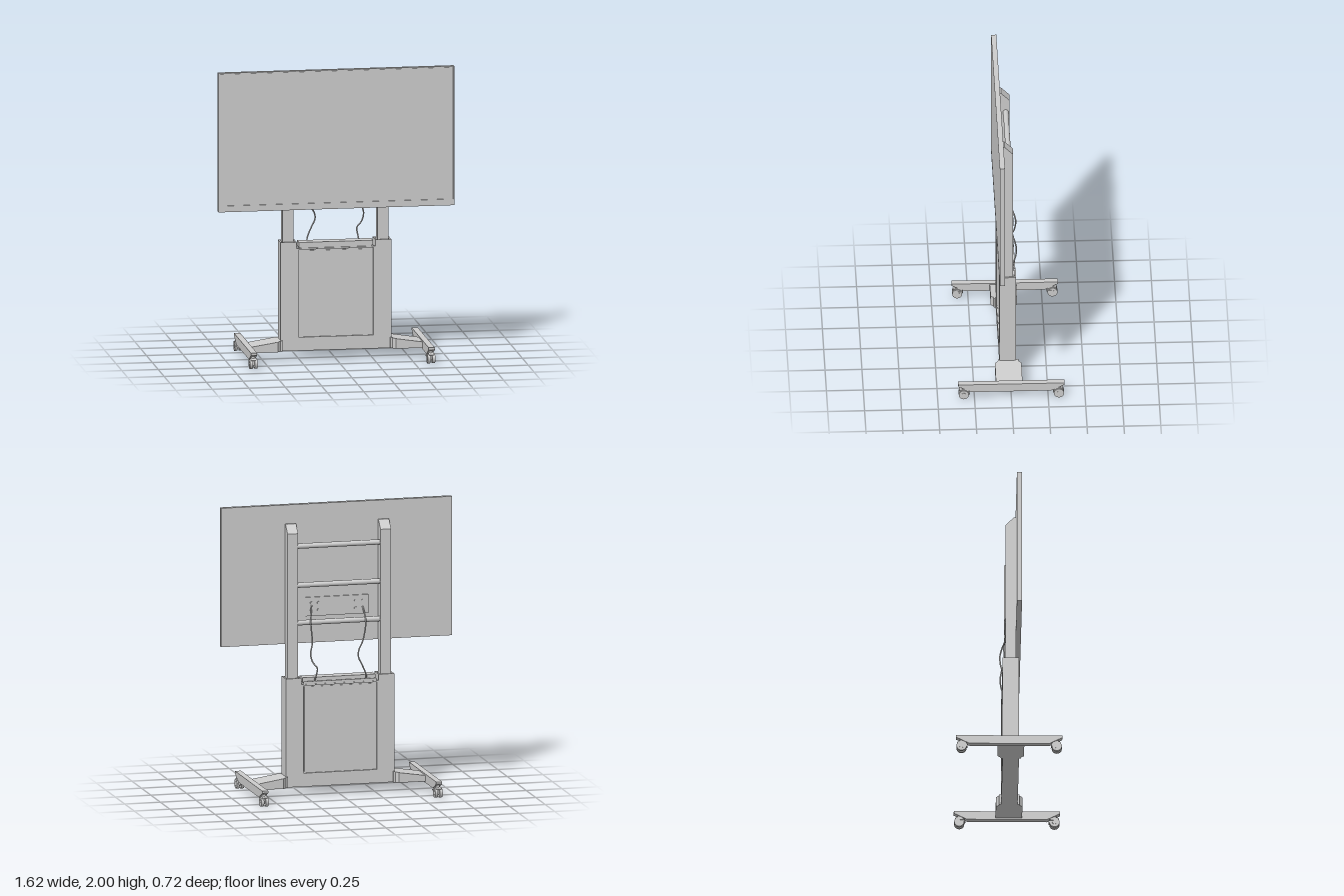
import * as THREE from 'three';

const mat = new THREE.MeshStandardMaterial({ color: 0xcccccc });

export function createModel() {
  const root = new THREE.Group();
  root.name = 'mobileDisplayStand';

  const add = (name, geo, parent = root) => {
    const m = new THREE.Mesh(geo, mat);
    m.name = name;
    parent.add(m);
    return m;
  };
  // Box given by its min and max along each axis
  const box = (name, x0, x1, y0, y1, z0, z1, parent) => {
    const g = new THREE.BoxGeometry(x1 - x0, y1 - y0, z1 - z0);
    g.translate((x0 + x1) / 2, (y0 + y1) / 2, (z0 + z1) / 2);
    return add(name, g, parent);
  };
  const shapeOf = pts => new THREE.Shape(pts.map(p => new THREE.Vector2(...p)));
  const rectPath = (x0, x1, y0, y1) =>
    new THREE.Path([[x0, y0], [x0, y1], [x1, y1], [x1, y0]].map(p => new THREE.Vector2(...p)));
  const extrude = (shape, depth) =>
    new THREE.ExtrudeGeometry(shape, { depth, bevelEnabled: false, curveSegments: 16 });
  // Side profile in (z, y), extruded along x from x0 to x1
  const sideProfile = (name, pts, x0, x1, parent) => {
    const g = extrude(shapeOf(pts.map(([z, y]) => [-z, y])), x1 - x0);
    g.rotateY(Math.PI / 2).translate(x0, 0, 0);
    return add(name, g, parent);
  };
  // Cylinder lying along x
  const rod = (name, r, len, x, y, z, parent, seg = 24) => {
    const g = new THREE.CylinderGeometry(r, r, len, seg);
    g.rotateZ(Math.PI / 2).translate(x, y, z);
    return add(name, g, parent);
  };

  // Display: rear shell, slim bezel, inset glass and lower bar
  const display = new THREE.Group();
  display.name = 'display';
  root.add(display);
  box('displayShell', -0.81, 0.81, 1.04, 2, 0.05, 0.078, display);
  const bezel = shapeOf([[-0.81, 1.04], [0.81, 1.04], [0.81, 2], [-0.81, 2]]);
  bezel.holes.push(rectPath(-0.803, 0.803, 1.083, 1.995));
  const bezelMesh = add('displayBezel', extrude(bezel, 0.007), display);
  bezelMesh.position.z = 0.078;
  box('displayGlass', -0.796, 0.796, 1.086, 1.993, 0.077, 0.083, display);

  // Mounting plate and its screws
  box('mountingPlate', -0.22, 0.22, 1.225, 1.355, 0.04, 0.051, display);
  for (const s of [-1, 1])
    for (const dx of [0.13, 0.18])
      for (const y of [1.265, 1.315]) {
        const g = new THREE.CylinderGeometry(0.01, 0.01, 0.008, 12);
        g.rotateX(Math.PI / 2).translate(s * dx, y, 0.037);
        add('plateScrew', g, display);
      }

  // Lifting posts with chamfered tops
  for (const s of [-1, 1]) {
    const x = s * 0.326;
    sideProfile('liftPost',
      [[0.05, 0.7], [0.05, 1.87], [0.035, 1.87], [-0.022, 1.812], [-0.022, 0.7]],
      x - 0.037, x + 0.037);
  }
  for (const y of [1.19, 1.45, 1.72]) rod('crossBar', 0.018, 0.59, 0, y, 0.005);

  // Cabinet: front and back frames with a notched top and panel opening
  const cabinet = new THREE.Group();
  cabinet.name = 'cabinet';
  root.add(cabinet);
  const outline = [[-0.38, 0.065], [0.38, 0.065], [0.38, 0.815], [0.27, 0.815],
    [0.27, 0.772], [-0.27, 0.772], [-0.27, 0.815], [-0.38, 0.815]];
  const frame = shapeOf(outline);
  frame.holes.push(rectPath(-0.257, 0.257, 0.158, 0.762));
  for (const z of [-0.042, 0.058]) add('cabinetFrame', extrude(frame, 0.012), cabinet).position.z = z;
  box('cabinetFrontPanel', -0.249, 0.249, 0.166, 0.754, 0.04, 0.062, cabinet);
  box('cabinetBackPanel', -0.249, 0.249, 0.166, 0.754, -0.034, -0.012, cabinet);
  box('cabinetCore', -0.27, 0.27, 0.065, 0.76, -0.03, 0.058, cabinet);
  for (const s of [-1, 1]) {
    box('cabinetOuterWall', s * 0.374 - 0.006, s * 0.374 + 0.006, 0.065, 0.815, -0.031, 0.059, cabinet);
    box('cabinetInnerWall', s * 0.275 - 0.005, s * 0.275 + 0.005, 0.065, 0.815, -0.031, 0.059, cabinet);
    box('postCollar', s * 0.325 - 0.046, s * 0.325 + 0.046, 0.065, 0.805, -0.031, 0.059, cabinet);
  }
  // Top cover, with a cable slot behind it
  box('topCover', -0.255, 0.255, 0.778, 0.812, -0.012, 0.068, cabinet);
  box('topCoverBase', -0.245, 0.245, 0.755, 0.78, -0.028, 0.06, cabinet);
  box('cableTrayRim', -0.255, 0.255, 0.77, 0.79, -0.04, -0.03, cabinet);

  // Cables from the mounting plate down into the cabinet
  const cables = [
    [[-0.18, 1.27, 0.035], [-0.185, 1.18, -0.022], [-0.165, 1.05, -0.02], [-0.13, 0.99, -0.045],
      [-0.125, 0.945, -0.056], [-0.15, 0.89, -0.056], [-0.18, 0.82, -0.045], [-0.185, 0.775, -0.02]],
    [[0.18, 1.3, 0.035], [0.2, 1.19, -0.022], [0.19, 1.05, -0.022], [0.207, 0.98, -0.042],
      [0.195, 0.925, -0.05], [0.162, 0.88, -0.05], [0.165, 0.845, -0.046], [0.178, 0.775, -0.02]],
  ];
  for (const pts of cables) {
    const curve = new THREE.CatmullRomCurve3(pts.map(p => new THREE.Vector3(...p)));
    add('cable', new THREE.TubeGeometry(curve, 60, 0.005, 8));
  }

  // Outriggers: plan outline raised into a wedge that thins outward
  for (const turn of [0, Math.PI]) {
    const plan = shapeOf([[0.37, -0.07], [0.385, -0.07], [0.405, -0.09], [0.6, -0.09],
      [0.6, 0.09], [0.405, 0.09], [0.385, 0.07], [0.37, 0.07]]);
    const g = extrude(plan, 1);
    g.rotateX(-Math.PI / 2);
    const p = g.attributes.position;
    for (let i = 0; i < p.count; i++) {
      const top = THREE.MathUtils.mapLinear(p.getX(i), 0.37, 0.6, 0.14, 0.104);
      p.setY(i, p.getY(i) > 0.5 ? top : 0.065);
    }
    g.computeVertexNormals();
    const m = add('outrigger', g);
    m.rotation.y = turn;
    m.position.z = 0.013;
  }

  // Feet with tapered ends, each on two twin-wheel casters
  for (const s of [-1, 1]) {
    const x = s * 0.61;
    sideProfile('footBeam',
      [[-0.36, 0.115], [-0.36, 0.1], [-0.27, 0.055], [0.27, 0.055], [0.36, 0.1], [0.36, 0.115]],
      x - 0.021, x + 0.021);
    for (const e of [-1, 1]) {
      const caster = new THREE.Group();
      caster.name = 'caster';
      caster.position.set(x, 0.035, e * 0.323);
      root.add(caster);
      for (const w of [-1, 1]) {
        rod('casterWheel', 0.034, 0.02, w * 0.016, 0, 0, caster, 28);
        rod('wheelHub', 0.016, 0.003, w * 0.0265, 0, 0, caster, 16);
      }
      rod('casterAxle', 0.007, 0.05, 0, 0, 0, caster, 12);
      // Hood arching over the wheels on the inner side
      const hood = new THREE.Shape();
      hood.absarc(0, 0, 0.041, 0, Math.PI * 0.75, false);
      hood.absarc(0, 0, 0.035, Math.PI * 0.75, 0, true);
      const hg = extrude(hood, 0.036);
      hg.translate(0, 0, -0.018).rotateY(e * Math.PI / 2);
      add('casterHood', hg, caster);
      box('casterFork', -0.005, 0.005, -0.01, 0.04, -0.015, 0.015, caster);
      const stem = new THREE.CylinderGeometry(0.013, 0.013, 0.025, 16);
      add('casterStem', stem.translate(0, 0.047, 0), caster);
      box('brakeLever', -s * 0.024 - 0.008, -s * 0.024 + 0.008, 0.012, 0.02, -e * 0.02 - 0.014, -e * 0.02 + 0.014, caster);
    }
  }
  return root;
}
